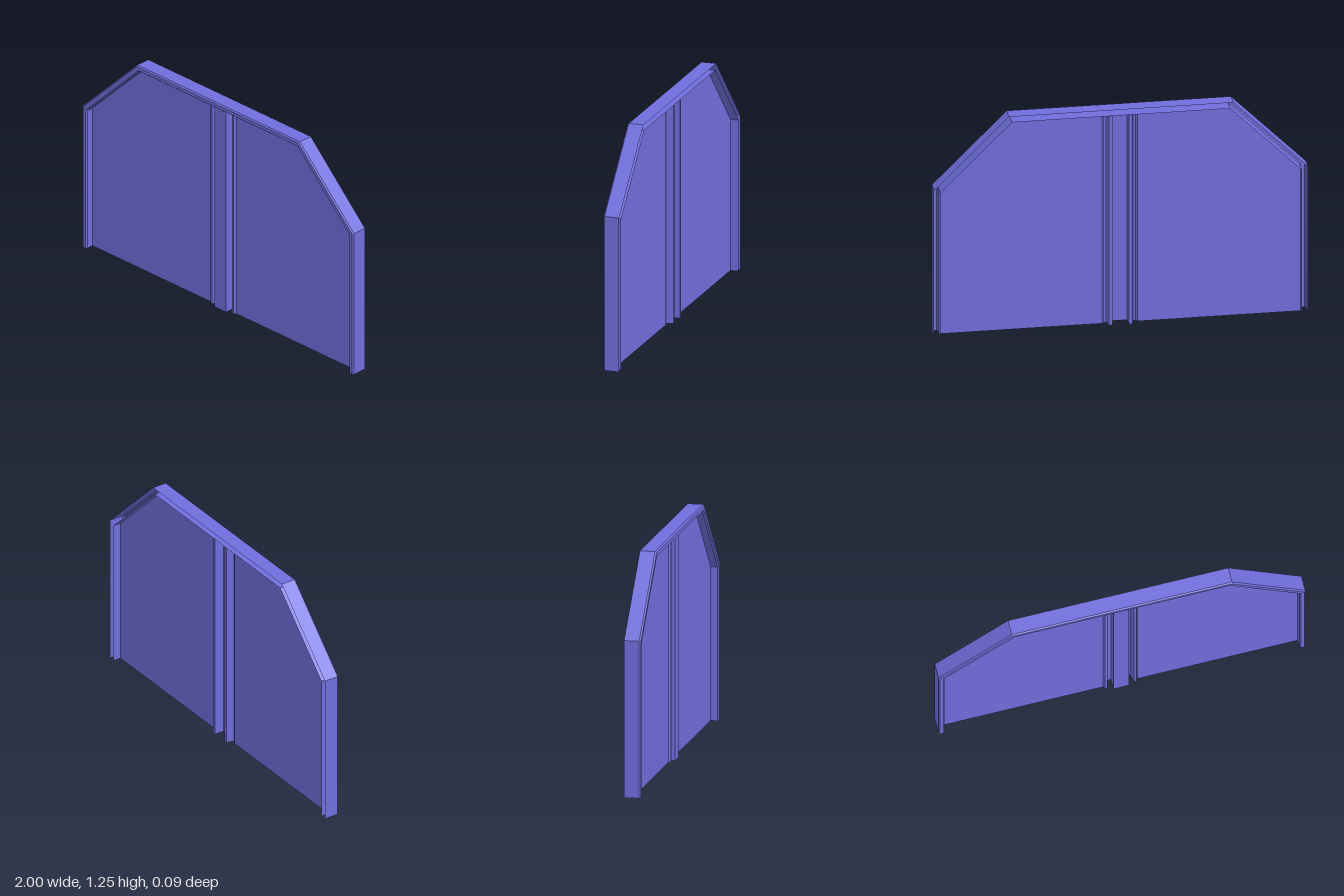
import * as THREE from 'three';

// Sheet made of flat quads between successive rows of points
function sheet(rows) {
  const pos = [];
  for (let i = 0; i < rows.length - 1; i++) {
    for (let j = 0; j < rows[i].length - 1; j++) {
      const a = rows[i][j], b = rows[i][j + 1], c = rows[i + 1][j + 1], d = rows[i + 1][j];
      pos.push(...a, ...b, ...c, ...a, ...c, ...d);
    }
  }
  const g = new THREE.BufferGeometry();
  g.setAttribute('position', new THREE.Float32BufferAttribute(pos, 3));
  g.computeVertexNormals();
  return g;
}

export function createModel() {
  const group = new THREE.Group();
  const blue = new THREE.MeshStandardMaterial({ color: 0x706edc, side: THREE.DoubleSide });
  blue.name = 'violet blue';
  const add = (name, geometry) => {
    const mesh = new THREE.Mesh(geometry, blue);
    mesh.name = name;
    group.add(mesh);
  };

  // Frame: a folded channel, open at the back, following the outline
  const outer = [[-1, 0], [-1, 0.85], [-0.6, 1.25], [0.6, 1.25], [1, 0.85], [1, 0]];
  const inner = [[-0.967, 0], [-0.967, 0.833], [-0.583, 1.217], [0.583, 1.217], [0.967, 0.833], [0.967, 0]];
  const channel = [[0, -0.045], [0, 0.037], [0.2, 0.045], [0.8, 0.045], [1, 0.037], [1, -0.045]];
  const lerp = THREE.MathUtils.lerp;
  add('frame', sheet(channel.map(([t, z]) =>
    outer.map((p, i) => [lerp(p[0], inner[i][0], t), lerp(p[1], inner[i][1], t), z]))));

  // Two flat leaves
  const edge = 0.095;
  for (const s of [-1, 1]) {
    const pts = [[edge, 0], [0.967, 0], [0.967, 0.833], [0.583, 1.217], [edge, 1.217]]
      .map(([x, y]) => new THREE.Vector2(s * x, y));
    add(s > 0 ? 'leftLeaf' : 'rightLeaf', new THREE.ShapeGeometry(new THREE.Shape(pts)));
  }

  // Folded centre post with a bead on each side
  const half = [[edge, 0], [0.085, 0.012], [0.073, 0.012], [0.068, 0], [0.062, -0.03], [0.043, -0.03], [0.043, 0.025]];
  const profile = [...half.map(([x, z]) => [-x, z]), ...half.slice().reverse()];
  add('centrePost', sheet([0, 1.217].map((y) => profile.map(([x, z]) => [x, y, z]))));

  return group;
}
